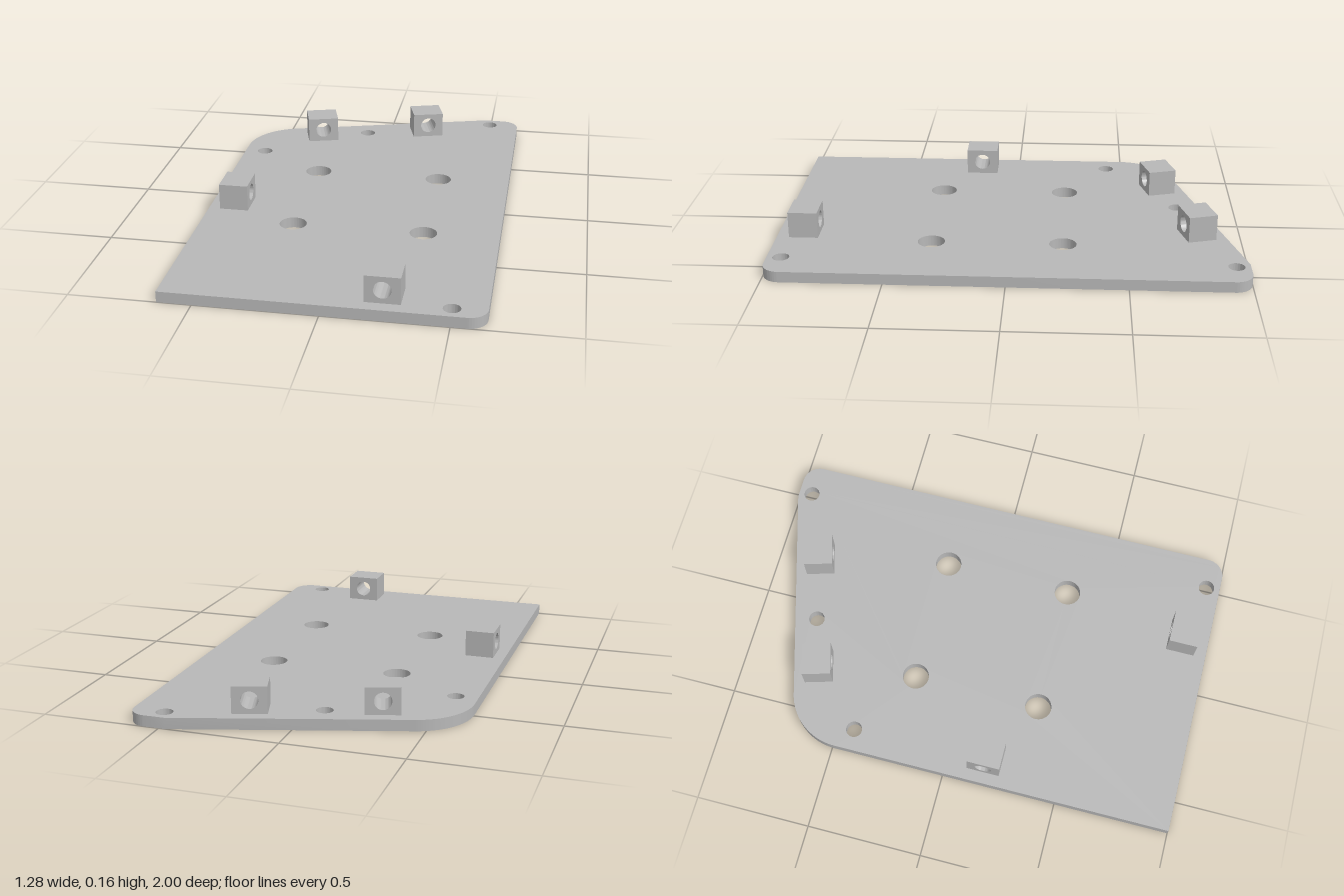
import * as THREE from 'three';
import { toCreasedNormals } from 'three/addons/utils/BufferGeometryUtils.js';

const T = 0.047; // plate thickness

const grey = new THREE.MeshStandardMaterial({ color: 0xb8b8b8 });
grey.name = 'grey';

function circle(x, y, r) {
  return new THREE.Path().absarc(x, y, r, 0, Math.PI * 2, true);
}

function extrude(shape, depth) {
  const geo = new THREE.ExtrudeGeometry(shape, { depth, bevelEnabled: false, curveSegments: 32 });
  return toCreasedNormals(geo, 0.5);
}

// Plate outline drawn in x and -z, with a slanted back edge
function makePlate() {
  const slope = Math.atan(0.291);
  const L = -0.64, R = 0.638, r = 0.075, big = 0.25;
  const turn = Math.PI / 2 - slope;
  const cornerY = 0.676; // where the slanted edge would meet the left side
  const tangent = big * Math.tan(turn / 2);
  const s = new THREE.Shape();
  s.moveTo(L, -1);
  s.lineTo(R - r, -1);
  s.absarc(R - r, -1 + r, r, -Math.PI / 2, 0, false);
  s.lineTo(R, 1 - r);
  s.absarc(R - r, 1 - r, r, 0, Math.PI / 2, false);
  s.lineTo(0.473, 1);
  s.absarc(L + big, cornerY - tangent, big, Math.PI / 2 + slope, Math.PI, false);
  s.lineTo(L, -1);

  // Four large holes in a square, four small ones near the edges
  for (const x of [-0.243, 0.317]) for (const z of [-0.228, 0.332]) s.holes.push(circle(x, -z, 0.058));
  for (const [x, z] of [[0.5, -0.941], [-0.093, -0.734], [-0.547, -0.424], [0.5, 0.94]]) {
    s.holes.push(circle(x, -z, 0.035));
  }
  const mesh = new THREE.Mesh(extrude(s, T).rotateX(-Math.PI / 2), grey);
  mesh.name = 'basePlate';
  return mesh;
}

// Small block with a bore through its depth
function makeBlock(name, x, z, turn) {
  const w = 0.143, h = 0.114, d = 0.125;
  const s = new THREE.Shape();
  s.moveTo(-w / 2, 0);
  s.lineTo(w / 2, 0);
  s.lineTo(w / 2, h);
  s.lineTo(-w / 2, h);
  s.closePath();
  s.holes.push(circle(0, h / 2, 0.036));
  const mesh = new THREE.Mesh(extrude(s, d).translate(0, 0, -d / 2), grey);
  mesh.name = name;
  mesh.position.set(x, T, z);
  mesh.rotation.y = turn;
  return mesh;
}

export function createModel() {
  const model = new THREE.Group();
  model.name = 'mountingPlate';
  const slant = Math.atan(0.291);
  model.add(
    makePlate(),
    makeBlock('frontBlock', 0.235, 0.884, 0),
    makeBlock('sideBlock', -0.528, 0.169, Math.PI / 2),
    makeBlock('backBlockRight', -0.309, -0.657, slant),
    makeBlock('backBlockLeft', 0.191, -0.802, slant),
  );
  return model;
}
